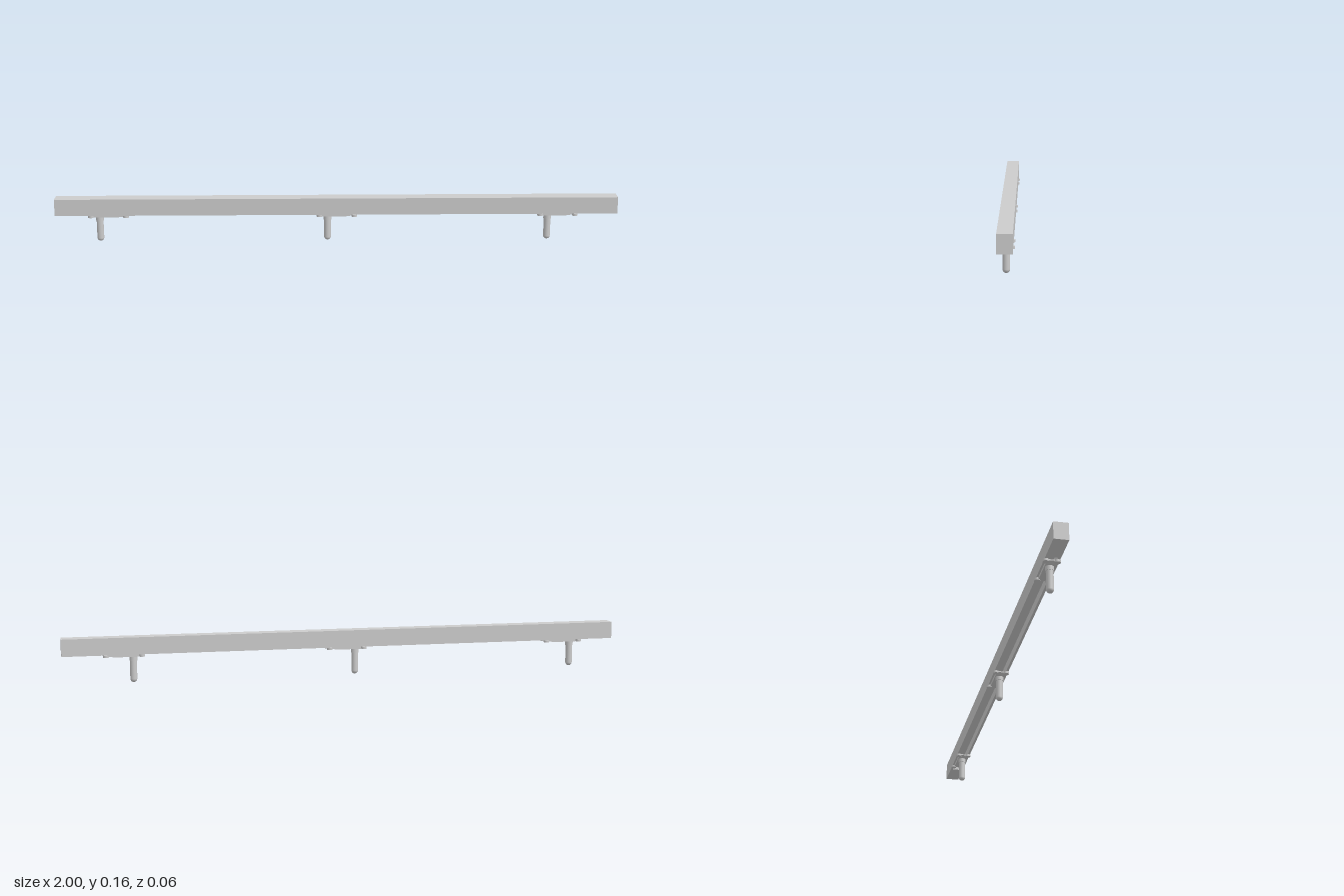
import * as THREE from 'three';

const grey = new THREE.MeshStandardMaterial({ color: 0xcccccc });

function add(parent, name, geometry, x = 0, y = 0, z = 0) {
  const mesh = new THREE.Mesh(geometry, grey);
  mesh.name = name;
  mesh.position.set(x, y, z);
  parent.add(mesh);
  return mesh;
}

function rectangle(Type, halfX, halfZ) {
  return new Type([[-1, -1], [1, -1], [1, 1], [-1, 1]].map(([x, z]) => new THREE.Vector2(x * halfX, z * halfZ)));
}

// Square bar with a long closed-ended slot in its underside
function buildBar() {
  const bar = new THREE.Group();
  bar.name = 'bar';
  const slotDepth = 0.03;
  const lower = rectangle(THREE.Shape, 1, 0.0245);
  lower.holes.push(rectangle(THREE.Path, 0.89, 0.016));
  const walls = new THREE.ExtrudeGeometry(lower, { depth: slotDepth, bevelEnabled: false });
  walls.rotateX(-Math.PI / 2);
  add(bar, 'slottedUnderside', walls, 0, 0.1, 0);
  add(bar, 'barTop', new THREE.BoxGeometry(2, 0.06 - slotDepth, 0.049), 0, 0.13 + (0.06 - slotDepth) / 2, 0);
  bar.position.z = 0.001;
  return bar;
}

// Mounting plate with four screw ears and a round-tipped peg
function buildMount(x) {
  const mount = new THREE.Group();
  mount.name = 'mount';
  mount.position.x = x;

  // Plate, thick over the peg and tapering towards one end
  const profile = new THREE.Shape([[-0.066, 0.1], [-0.066, 0.096], [-0.052, 0.091], [0.03, 0.091], [0.066, 0.096], [0.066, 0.1]]
    .map(([px, py]) => new THREE.Vector2(px, py)));
  const plate = new THREE.ExtrudeGeometry(profile, { depth: 0.034, bevelEnabled: false });
  add(mount, 'mountingPlate', plate, 0, 0, -0.017);

  for (const sx of [-1, 1]) {
    for (const sz of [-1, 1]) {
      add(mount, 'screwEar', new THREE.CylinderGeometry(0.01, 0.01, 0.008, 16), sx * 0.062, 0.096, sz * 0.0185);
    }
  }

  // Collar and peg
  add(mount, 'collar', new THREE.CylinderGeometry(0.014, 0.014, 0.015, 24), -0.033, 0.0835, 0);
  add(mount, 'peg', new THREE.CylinderGeometry(0.0122, 0.0122, 0.068, 24, 1, true), -0.033, 0.046, 0);
  const tip = new THREE.SphereGeometry(0.0122, 24, 8, 0, Math.PI * 2, Math.PI / 2, Math.PI / 2);
  add(mount, 'pegTip', tip, -0.033, 0.0122, 0);
  return mount;
}

export function createModel() {
  const model = new THREE.Group();
  model.name = 'mountedBar';
  model.add(buildBar());
  for (const x of [-0.811, 0, 0.787]) model.add(buildMount(x));
  return model;
}
